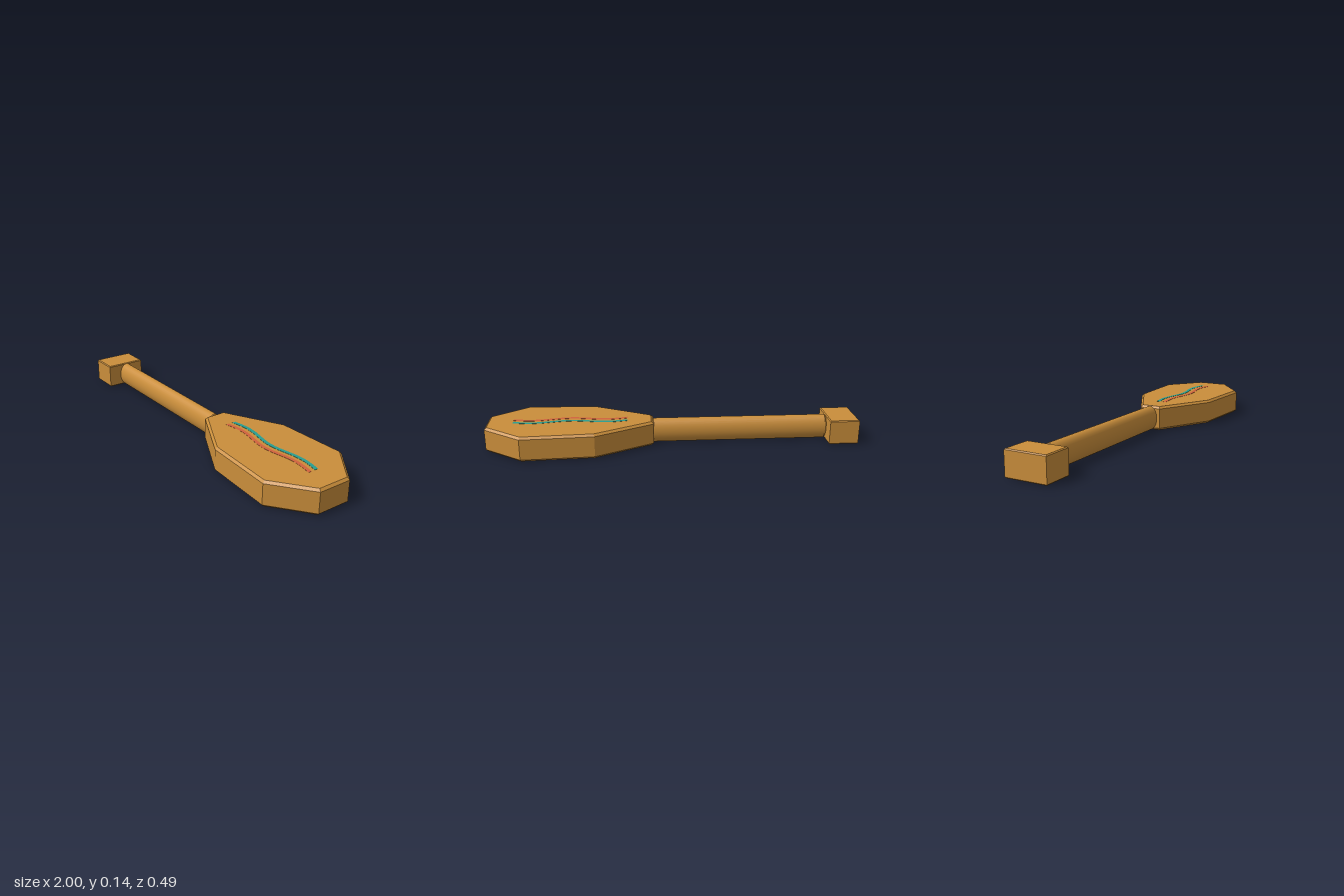
import * as THREE from 'three';

const H = 0.134; // overall thickness

const mat = (name, color) => {
  const m = new THREE.MeshStandardMaterial({ color });
  m.name = name;
  return m;
};

// Flat slab with chamfered rims, from an outline in x and z
function slab(points, bevel) {
  const shape = new THREE.Shape(points.map(([x, z]) => new THREE.Vector2(x, -z)));
  const geo = new THREE.ExtrudeGeometry(shape, {
    depth: H - 2 * bevel, bevelThickness: bevel, bevelSize: bevel,
    bevelOffset: -bevel, bevelSegments: 1,
  });
  return geo.rotateX(-Math.PI / 2).translate(0, bevel, 0);
}

// Thin wavy painted stripe along x, centred on z0
function waveStripe(z0) {
  const n = 36, half = 0.01, upper = [], lower = [];
  for (let i = 0; i <= n; i++) {
    const x = 0.25 + (0.61 * i) / n;
    const z = z0 - 0.0135 * Math.cos(((x - 0.555) / 0.2) * Math.PI + Math.PI);
    upper.push(new THREE.Vector2(x, -z + half));
    lower.unshift(new THREE.Vector2(x, -z - half));
  }
  const geo = new THREE.ExtrudeGeometry(new THREE.Shape([...upper, ...lower]), {
    depth: 0.002, bevelEnabled: false,
  });
  return geo.rotateX(-Math.PI / 2).translate(0, H - 0.001, 0);
}

export function createModel() {
  const model = new THREE.Group();
  model.name = 'paddle';
  const wood = mat('wood', 0xca8e3b);
  const teal = mat('teal paint', 0x2a9d8f);
  const coral = mat('coral paint', 0xd1633c);
  const add = (name, geo, material) => {
    const mesh = new THREE.Mesh(geo, material);
    mesh.name = name;
    model.add(mesh);
    return mesh;
  };

  // Blade: eight-sided outline mirrored across z
  const side = [[0.11, 0.06], [0.42, 0.224], [0.8, 0.244], [1, 0.09]];
  const mirrored = side.map(([x, z]) => [x, -z]).reverse();
  add('blade', slab([...side, ...mirrored], 0.012), wood);

  // Grip block at the far end of the shaft
  add('grip', slab([[-1, 0.113], [-0.84, 0.113], [-0.84, -0.113], [-1, -0.113]], 0.005), wood);

  // Oval shaft with small chamfers at both ends
  const r = H / 2, x0 = -0.842, x1 = 0.118, c = 0.01;
  const rings = [[0, x0], [r - c, x0], [r - c, x0], [r, x0 + c], [r, x0 + c],
    [r, x1 - c], [r, x1 - c], [r - c, x1], [r - c, x1], [0, x1]];
  const shaft = new THREE.LatheGeometry(rings.map(([a, b]) => new THREE.Vector2(a, b)), 32);
  shaft.rotateZ(-Math.PI / 2).scale(1, 1, 0.64).translate(0, r, 0);
  add('shaft', shaft, wood);

  // Painted waves on the upper face
  add('tealWave', waveStripe(-0.022), teal);
  add('coralWave', waveStripe(0.018), coral);

  return model;
}
